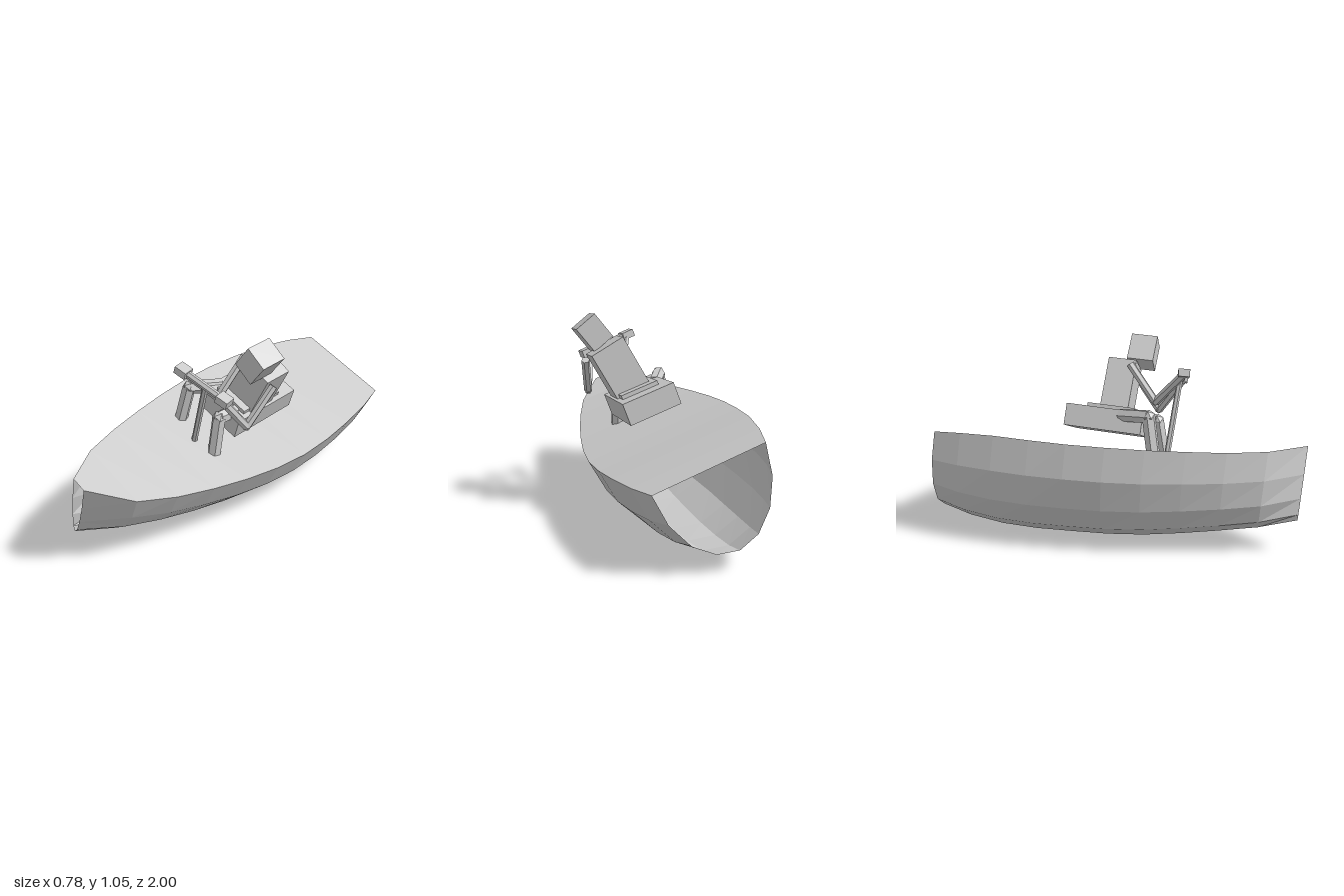
import * as THREE from 'three';

const ROLL = 0.35, PITCH = 0.07;
const solid = new THREE.MeshStandardMaterial({ color: 0xcccccc, flatShading: true });
const shell = new THREE.MeshStandardMaterial({ color: 0xcccccc, flatShading: true, side: THREE.DoubleSide });
const V = (p) => new THREE.Vector3(...p);

function box(parent, name, size, pos, roll = ROLL, yaw = 0) {
  const mesh = new THREE.Mesh(new THREE.BoxGeometry(...size), solid);
  mesh.name = name;
  mesh.position.set(...pos);
  mesh.rotation.set(PITCH, yaw, -roll);
  parent.add(mesh);
}

// Six-sided rod between two points
function rod(parent, name, a, b, radius) {
  const from = V(a), dir = V(b).sub(from);
  const mesh = new THREE.Mesh(new THREE.CylinderGeometry(radius, radius, dir.length(), 6), solid);
  mesh.name = name;
  mesh.position.copy(from).addScaledVector(dir, 0.5);
  mesh.quaternion.setFromUnitVectors(new THREE.Vector3(0, 1, 0), dir.normalize());
  parent.add(mesh);
}

// Two rods meeting at a faceted joint
function limb(parent, name, [a, b, c], radius) {
  const g = new THREE.Group();
  g.name = name;
  rod(g, name + 'Upper', a, b, radius);
  rod(g, name + 'Lower', b, c, radius);
  const joint = new THREE.Mesh(new THREE.IcosahedronGeometry(radius * 1.05, 0), solid);
  joint.name = name + 'Joint';
  joint.position.set(...b);
  g.add(joint);
  parent.add(g);
}

function surface(parent, name, triangles) {
  const geo = new THREE.BufferGeometry().setFromPoints(triangles);
  geo.computeVertexNormals();
  const mesh = new THREE.Mesh(geo, shell);
  mesh.name = name;
  parent.add(mesh);
}

// Hull stations from bow to stern: z, deck centre x, deck centre y, half width, depth
const STATIONS = [
  [0.998, 0.04, 0.543, 0.04, 0.386],
  [0.8, 0.03, 0.493, 0.185, 0.391],
  [0.6, 0.02, 0.472, 0.256, 0.404],
  [0.4, 0.015, 0.462, 0.308, 0.426],
  [0.2, 0.01, 0.455, 0.35, 0.445],
  [0, 0.008, 0.453, 0.38, 0.457],
  [-0.2, 0.007, 0.455, 0.393, 0.463],
  [-0.4, 0.007, 0.463, 0.385, 0.473],
  [-0.6, 0.007, 0.474, 0.363, 0.474],
  [-0.8, 0.007, 0.477, 0.325, 0.447],
  [-0.97, 0.007, 0.477, 0.275, 0.4],
];

function buildBoat(parent) {
  const n = 8, c = Math.cos(ROLL), s = Math.sin(ROLL);
  // Each section is a rolled half ellipse, leaning with the pitch
  const rings = STATIONS.map(([z, x, y, w, d]) =>
    Array.from({ length: n + 1 }, (_, k) => {
      const a = (Math.PI * k) / n, u = w * Math.cos(a), v = -d * Math.sin(a);
      const dy = v * c - u * s;
      return new THREE.Vector3(x + u * c + v * s, y + dy, z + dy * PITCH);
    }));
  const hull = [], deck = [];
  for (let i = 0; i < rings.length - 1; i++) {
    const p = rings[i], q = rings[i + 1];
    for (let k = 0; k < n; k++) hull.push(p[k], p[k + 1], q[k], p[k + 1], q[k + 1], q[k]);
    deck.push(p[0], q[0], p[n], q[0], q[n], p[n]);
  }
  surface(parent, 'hull', hull);
  surface(parent, 'deck', deck);
}

export function createModel() {
  const model = new THREE.Group();
  model.name = 'boatWithRider';

  const boat = new THREE.Group();
  boat.name = 'boat';
  model.add(boat);
  buildBoat(boat);
  box(boat, 'seat', [0.285, 0.118, 0.42], [0.06, 0.604, -0.073]);

  // Steering column and handlebar with grips
  const steering = new THREE.Group();
  steering.name = 'steering';
  model.add(steering);
  rod(steering, 'column', [0, 0.42, 0.262], [0.152, 0.845, 0.305], 0.016);
  const gripR = [0.032, 0.897, 0.342], gripL = [0.275, 0.812, 0.297];
  rod(steering, 'handlebar', gripR, gripL, 0.018);
  box(steering, 'rightGrip', [0.068, 0.04, 0.06], gripR, ROLL, 0.18);
  box(steering, 'leftGrip', [0.068, 0.04, 0.06], gripL, ROLL, 0.18);

  // Rider leaning into the turn
  const rider = new THREE.Group();
  rider.name = 'rider';
  model.add(rider);
  box(rider, 'hips', [0.205, 0.04, 0.26], [0.092, 0.655, -0.048]);
  box(rider, 'torso', [0.19, 0.3, 0.155], [0.172, 0.757, -0.03], 0.515);
  box(rider, 'head', [0.127, 0.152, 0.145], [0.29, 0.948, 0.073], 0.67);
  limb(rider, 'rightArm', [[0.142, 0.91, 0.03], [0.105, 0.715, 0.18], [0.04, 0.885, 0.335]], 0.022);
  limb(rider, 'leftArm', [[0.338, 0.81, 0.02], [0.297, 0.62, 0.165], [0.26, 0.805, 0.3]], 0.022);
  limb(rider, 'rightLeg', [[-0.04, 0.67, 0.02], [-0.112, 0.69, 0.185], [-0.15, 0.48, 0.222]], 0.036);
  limb(rider, 'leftLeg', [[0.13, 0.605, 0.02], [0.122, 0.605, 0.19], [0.12, 0.405, 0.225]], 0.036);

  return model;
}
